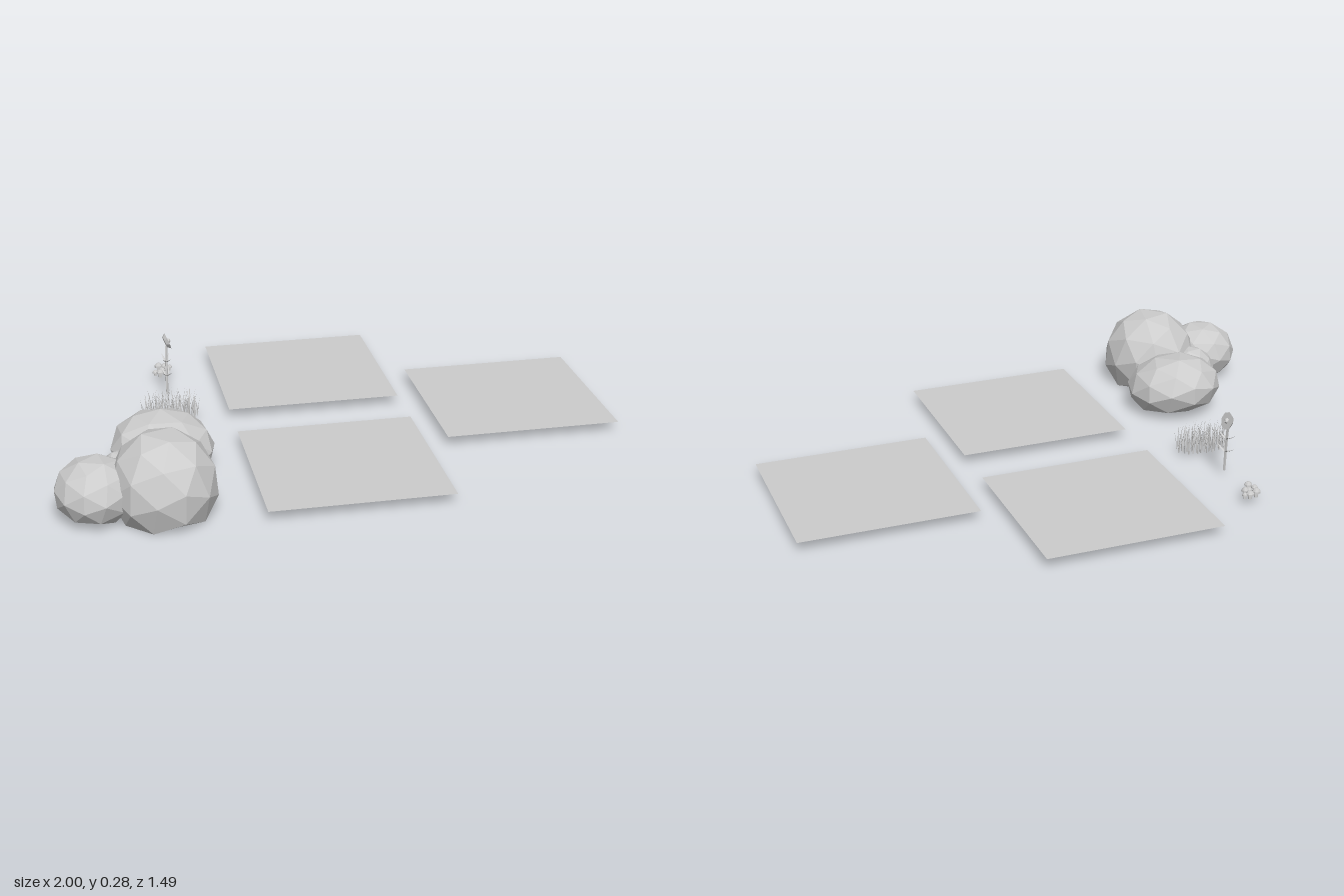
import * as THREE from 'three';
import { mergeGeometries } from 'three/addons/utils/BufferGeometryUtils.js';

const GROUND = 0.036;
const flat = new THREE.MeshStandardMaterial({ color: 0xcccccc, flatShading: true });
const thin = new THREE.MeshStandardMaterial({ color: 0xcccccc, flatShading: true, side: THREE.DoubleSide });

function addMesh(parent, name, geometry, material = flat) {
  const mesh = new THREE.Mesh(geometry, material);
  mesh.name = name;
  parent.add(mesh);
  return mesh;
}

// Small seeded generator for the grass
function makeRandom(seed) {
  return () => (seed = (seed * 16807) % 2147483647) / 2147483647;
}

// Faceted boulder: an icosphere stretched to its radii, with the underside pressed flat
function boulder(radii, floor, spin) {
  const g = new THREE.IcosahedronGeometry(1, 1).rotateX(0.35).rotateY(spin).scale(...radii);
  const p = g.attributes.position;
  for (let i = 0; i < p.count; i++) p.setY(i, Math.max(p.getY(i), floor));
  g.computeVertexNormals();
  return g;
}

// Leaf-like blade along +y: a diamond section that tapers, bent towards +z
function blade(length, width, thickness, bend) {
  const g = new THREE.CylinderGeometry(0.05, 0.6, 1, 4, 3).translate(0, 0.5, 0);
  const p = g.attributes.position;
  for (let i = 0; i < p.count; i++) {
    const t = p.getY(i);
    p.setXYZ(i, p.getX(i) * width, t * length, p.getZ(i) * thickness + bend * t * t);
  }
  return g;
}

function buildRocks() {
  const rocks = new THREE.Group();
  rocks.name = 'rocks';
  const specs = [
    { name: 'largeRock', at: [-0.652, 0.115, 0.56], radii: [0.179, 0.187, 0.187], floor: -0.1, spin: 0.3 },
    { name: 'backRock', at: [-0.62, 0.11, 0.265], radii: [0.177, 0.117, 0.176], floor: -0.082, spin: 1.1, tilt: [0.13, 0, -0.07] },
    { name: 'sideRock', at: [-0.868, 0.112, 0.55], radii: [0.135, 0.112, 0.14], floor: -0.093, spin: 0.7 },
    { name: 'smallRock', at: [-0.77, 0.09, 0.425], radii: [0.09, 0.09, 0.09], floor: -0.07, spin: 0.2 },
  ];
  for (const s of specs) {
    const rock = addMesh(rocks, s.name, boulder(s.radii, s.floor, s.spin));
    rock.position.set(...s.at);
    if (s.tilt) rock.rotation.set(...s.tilt);
  }
  return rocks;
}

// Oval clump of thin bent blades, spread evenly by the golden angle
function buildGrass() {
  const random = makeRandom(71);
  const blades = [];
  const count = 110;
  for (let i = 0; i < count; i++) {
    const angle = i * 2.39996;
    const r = Math.sqrt((i + 0.5) / count);
    const length = 0.06 + random() * 0.034;
    const g = blade(length, 0.0045, 0.003, 0.008 + random() * 0.01);
    g.rotateY(random() * Math.PI * 2);
    g.translate(Math.cos(angle) * r * 0.104, 0, Math.sin(angle) * r * 0.056);
    blades.push(g);
  }
  const grass = new THREE.Group();
  grass.name = 'grass';
  addMesh(grass, 'grassBlades', mergeGeometries(blades), thin);
  grass.position.set(-0.544, GROUND, -0.145);
  return grass;
}

function buildFlower() {
  const flower = new THREE.Group();
  flower.name = 'flower';
  flower.position.set(-0.535, GROUND, -0.345);
  const curve = new THREE.QuadraticBezierCurve3(
    new THREE.Vector3(0, 0, 0),
    new THREE.Vector3(0, 0.1, -0.003),
    new THREE.Vector3(0.004, 0.185, -0.022)
  );
  addMesh(flower, 'stem', new THREE.TubeGeometry(curve, 6, 0.0048, 5));

  // Leaves in splayed pairs at two heights
  for (const [t, length] of [[0.38, 0.045], [0.66, 0.04]]) {
    const base = curve.getPoint(t);
    for (const side of [1, -1]) {
      for (const splay of [-0.4, 0.4]) {
        const g = blade(length, 0.011, 0.004, -0.008);
        g.rotateX(1.25).rotateY((side > 0 ? 0 : Math.PI) + splay);
        addMesh(flower, 'leaf', g, thin).position.copy(base);
      }
    }
  }

  // Head: shallow eight-sided bloom turned sideways
  const head = new THREE.Group();
  head.name = 'flowerHead';
  head.position.set(0.006, 0.199, -0.024);
  head.rotation.set(-0.3, 0, -1.2);
  const bloom = new THREE.CylinderGeometry(0.032, 0.022, 0.012, 8).rotateY(Math.PI / 8);
  addMesh(head, 'bloom', bloom);
  addMesh(head, 'flowerCentre', new THREE.IcosahedronGeometry(0.011, 0)).position.y = 0.006;
  flower.add(head);
  return flower;
}

function buildMushrooms() {
  const mushrooms = new THREE.Group();
  mushrooms.name = 'mushrooms';
  // x, z, cap radius, height
  const spots = [
    [-0.558, -0.53, 0.012, 0.022], [-0.542, -0.513, 0.014, 0.03], [-0.53, -0.542, 0.011, 0.024],
    [-0.542, -0.573, 0.015, 0.033], [-0.517, -0.577, 0.015, 0.028], [-0.5, -0.572, 0.01, 0.022],
    [-0.512, -0.55, 0.013, 0.031],
  ];
  for (const [x, z, r, h] of spots) {
    const mushroom = new THREE.Group();
    mushroom.name = 'mushroom';
    mushroom.position.set(x, GROUND, z);
    addMesh(mushroom, 'mushroomStem', new THREE.CylinderGeometry(r * 0.35, r * 0.5, h * 0.75, 6)).position.y = h * 0.375;
    const profile = [[0, 0.55], [1, 0.5], [0.95, 0.72], [0.6, 0.93], [0, 1]].map(([a, b]) => new THREE.Vector2(a * r, b * h));
    addMesh(mushroom, 'mushroomCap', new THREE.LatheGeometry(profile, 8));
    mushrooms.add(mushroom);
  }
  return mushrooms;
}

export function createModel() {
  const model = new THREE.Group();
  model.name = 'natureSet';
  model.add(buildRocks(), buildGrass(), buildFlower(), buildMushrooms());

  // Three flat square ground tiles
  for (const [x, z] of [[-0.024, -0.438], [-0.024, 0.38], [0.687, -0.05]]) {
    const tile = addMesh(model, 'groundTile', new THREE.PlaneGeometry(0.625, 0.625).rotateX(-Math.PI / 2), thin);
    tile.position.set(x, 0.05, z);
  }
  return model;
}
